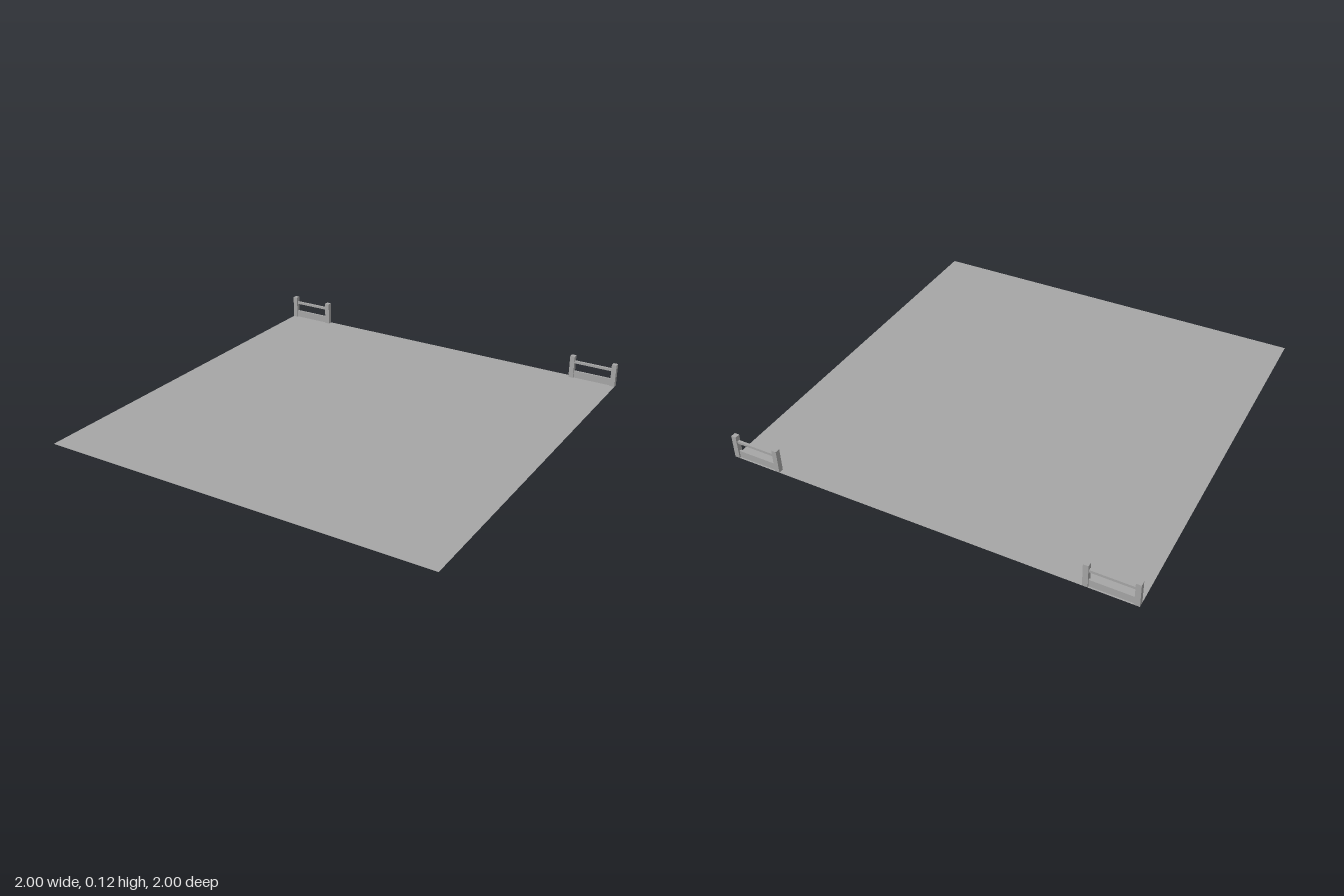
import * as THREE from 'three';

export function createModel() {
  const model = new THREE.Group();
  const grey = new THREE.MeshStandardMaterial({ color: 0xa6a6a6, side: THREE.DoubleSide });
  grey.name = 'grey';

  // Flat ground sheet
  const ground = new THREE.Mesh(new THREE.PlaneGeometry(2, 2).rotateX(-Math.PI / 2), grey);
  ground.name = 'ground';
  model.add(ground);

  const z = -0.9875, post = 0.025, height = 0.12, centre = 0.875, span = 0.225;

  const box = (parent, name, w, h, d, x, y) => {
    const mesh = new THREE.Mesh(new THREE.BoxGeometry(w, h, d), grey);
    mesh.name = name;
    mesh.position.set(x, y, 0);
    parent.add(mesh);
  };

  // A short fence at each back corner
  for (const side of [-1, 1]) {
    const fence = new THREE.Group();
    fence.name = side > 0 ? 'leftFence' : 'rightFence';
    fence.position.set(side * centre, 0, z);
    for (const s of [-1, 1]) {
      box(fence, s * side > 0 ? 'outerPost' : 'innerPost', post, height, post, s * span / 2, height / 2);
    }
    // Kick board and upper rail between the posts
    box(fence, 'kickBoard', span - post, 0.037, 0.01, 0, 0.0185);
    box(fence, 'upperRail', span - post, 0.013, 0.012, 0, 0.087);
    model.add(fence);
  }
  return model;
}
